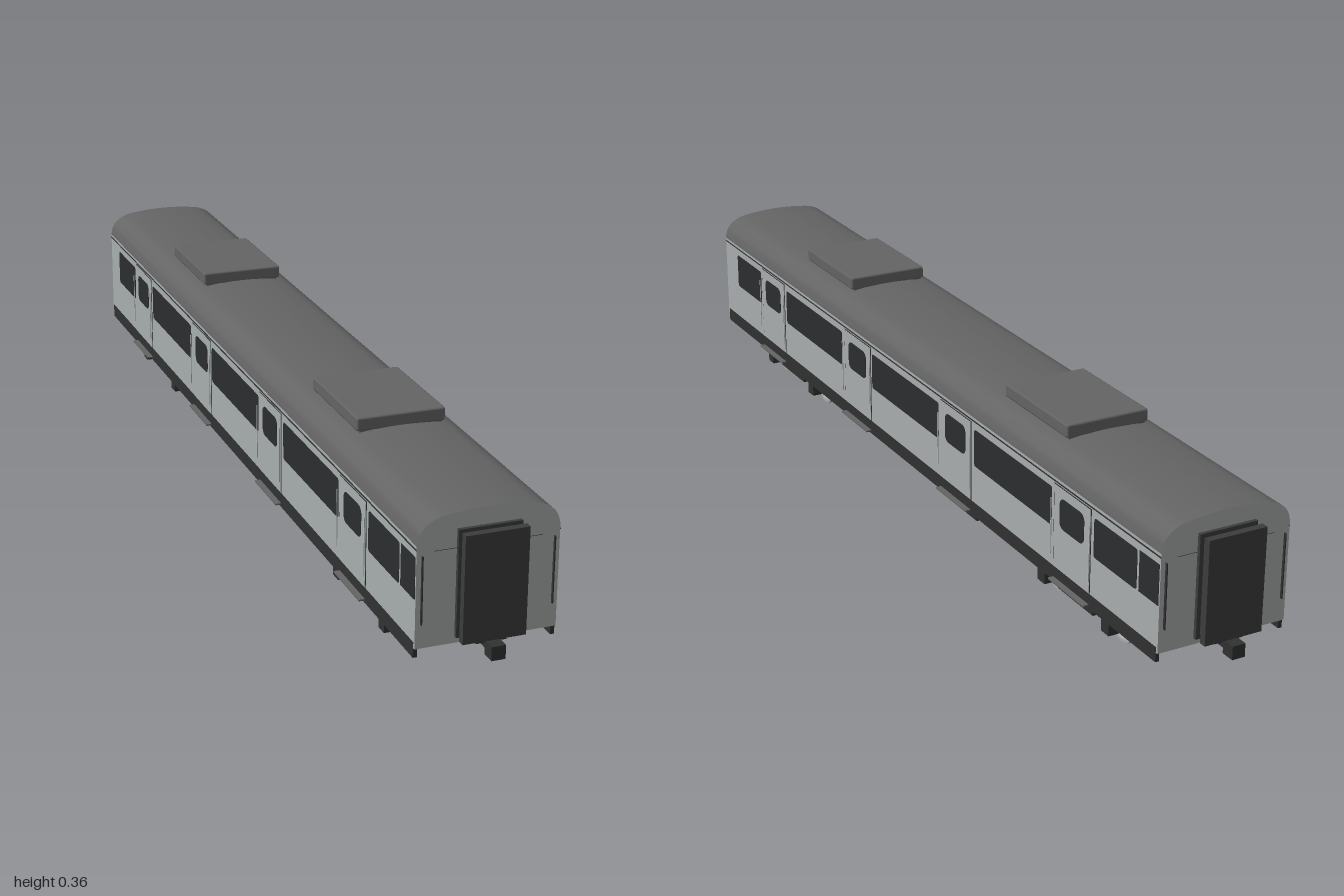
import * as THREE from 'three';
import { toCreasedNormals } from 'three/addons/utils/BufferGeometryUtils.js';
import { RoundedBoxGeometry } from 'three/addons/geometries/RoundedBoxGeometry.js';

const mat = (name, color) => {
  const m = new THREE.MeshStandardMaterial({ color });
  m.name = name;
  return m;
};

export function createModel() {
  const bodyGrey = mat('body grey', 0xa8adad);
  const roofGrey = mat('roof grey', 0x646464);
  const glass = mat('dark glass', 0x2c2d2e);
  const rubber = mat('gangway rubber', 0x3c3c3c);
  const trim = mat('dark trim', 0x303132);
  const steel = mat('wheel steel', 0xb4b8b8);
  const yellow = mat('spring yellow', 0xc4aa20);

  const model = new THREE.Group();
  model.name = 'railCoach';

  const add = (parent, name, geo, material, x = 0, y = 0, z = 0) => {
    const mesh = new THREE.Mesh(geo, material);
    mesh.name = name;
    mesh.position.set(x, y, z);
    parent.add(mesh);
    return mesh;
  };
  // box given by its limits
  const box = (parent, name, material, [x0, x1], [y0, y1], [z0, z1]) =>
    add(parent, name, new THREE.BoxGeometry(x1 - x0, y1 - y0, z1 - z0), material,
      (x0 + x1) / 2, (y0 + y1) / 2, (z0 + z1) / 2);
  const group = (name, parent = model) => {
    const g = new THREE.Group();
    g.name = name;
    parent.add(g);
    return g;
  };

  // body shell: walls, plain floor and arched roof
  const L = 0.948;
  box(model, 'bodyWalls', bodyGrey, [-0.13, 0.13], [0.095, 0.283], [-L, L]);
  const arch = new THREE.Shape();
  arch.moveTo(-0.13, 0.283);
  arch.lineTo(0.13, 0.283);
  arch.bezierCurveTo(0.128, 0.312, 0.108, 0.326, 0.08, 0.331);
  arch.quadraticCurveTo(0.04, 0.337, 0, 0.337);
  arch.quadraticCurveTo(-0.04, 0.337, -0.08, 0.331);
  arch.bezierCurveTo(-0.108, 0.326, -0.128, 0.312, -0.13, 0.283);
  const roofGeo = new THREE.ExtrudeGeometry(arch, { depth: 2 * L, bevelEnabled: false, curveSegments: 10 });
  roofGeo.translate(0, 0, -L);
  add(model, 'roof', toCreasedNormals(roofGeo, 0.6), [bodyGrey, roofGrey]);

  // roof air units
  for (const z of [-0.452, 0.452]) {
    add(model, 'roofUnit', new RoundedBoxGeometry(0.172, 0.026, 0.23, 1, 0.004), roofGrey, 0, 0.347, z);
    box(model, 'roofUnitBase', roofGrey, [-0.08, 0.08], [0.326, 0.337], [z - 0.112, z + 0.112]);
  }

  // flat plate lying on the +x wall, with rounded corners
  const wallPlate = (w, h, r, depth) => {
    const a = w / 2 - r, b = h / 2 - r, s = new THREE.Shape();
    s.absarc(a, b, r, 0, Math.PI / 2);
    s.absarc(-a, b, r, Math.PI / 2, Math.PI);
    s.absarc(-a, -b, r, Math.PI, Math.PI * 1.5);
    s.absarc(a, -b, r, Math.PI * 1.5, Math.PI * 2);
    const g = new THREE.ExtrudeGeometry(s, { depth, bevelEnabled: false, curveSegments: 4 });
    return g.rotateY(Math.PI / 2);
  };

  // one side of the coach; the other is the same turned half round
  const doors = [0.667, 0.22, -0.222, -0.664];
  const windows = [[0.738, 0.877], [0.298, 0.592], [-0.15, 0.15], [-0.592, -0.298], [-0.877, -0.738]];
  for (const turn of [0, Math.PI]) {
    const side = group(turn ? 'rightSide' : 'leftSide');
    side.rotation.y = turn;
    for (const [a, b] of windows)
      add(side, 'window', wallPlate(b - a, 0.076, 0.006, 0.0018), glass, 0.129, 0.222, (a + b) / 2);
    box(side, 'endPanel', glass, [0.129, 0.1308], [0.185, 0.262], [-0.945, -0.884]);
    for (const z of doors) {
      box(side, 'doorSeal', trim, [0.129, 0.1305], [0.105, 0.272], [z - 0.064, z + 0.064]);
      box(side, 'door', bodyGrey, [0.129, 0.1312], [0.107, 0.27], [z - 0.062, z + 0.062]);
      add(side, 'doorWindow', wallPlate(0.084, 0.06, 0.014, 0.002), glass, 0.13, 0.222, z);
      for (const s of [-1, 1])
        box(side, 'handrail', steel, [0.1345, 0.136], [0.132, 0.243], [z + s * 0.066 - 0.001, z + s * 0.066 + 0.001]);
      box(side, 'doorStep', roofGrey, [0.12, 0.142], [0.082, 0.085], [z - 0.062, z + 0.062]);
    }
    box(side, 'gutter', trim, [0.129, 0.131], [0.275, 0.2775], [-L, L]);
    box(side, 'sill', trim, [0.123, 0.1305], [0.077, 0.106], [-L + 0.005, L - 0.005]);
  }

  // coach ends: gangway, handrails and coupler
  for (const turn of [0, Math.PI]) {
    const end = group(turn ? 'backEnd' : 'frontEnd');
    end.rotation.y = turn;
    box(end, 'gangwayBellows', rubber, [-0.05, 0.05], [0.115, 0.297], [0.94, 0.968]);
    box(end, 'gangwayFrame', rubber, [-0.058, 0.058], [0.107, 0.305], [0.968, 0.982]);
    box(end, 'gangwayCollar', rubber, [-0.058, 0.058], [0.107, 0.305], [0.946, 0.955]);
    for (const s of [-1, 1]) {
      box(end, 'endHandrail', trim, [s * 0.12 - 0.001, s * 0.12 + 0.001], [0.14, 0.265], [0.946, 0.953]);
      box(end, 'endSeam', trim, [s * 0.078 - 0.02, s * 0.078 + 0.02], [0.2698, 0.2705], [0.946, 0.9485]);
    }
    box(end, 'couplerBar', trim, [-0.009, 0.009], [0.085, 0.098], [0.88, 0.98]);
    box(end, 'couplerHead', trim, [-0.013, 0.013], [0.078, 0.104], [0.972, 1]);
    box(end, 'couplerBracket', trim, [-0.028, 0.028], [0.098, 0.107], [0.93, 0.97]);
  }

  // wheel profile: flange on the inner face, raised rim around a flat web
  const wheelGeo = toCreasedNormals(new THREE.LatheGeometry([
    [0, -0.004], [0.027, -0.004], [0.027, -0.007], [0.041, -0.007], [0.041, -0.004],
    [0.037, -0.002], [0.036, 0.006], [0.027, 0.006], [0.027, 0.002], [0, 0.002],
  ].map(([r, y]) => new THREE.Vector2(r, y)), 28), 0.6);
  wheelGeo.rotateZ(-Math.PI / 2);

  // bogies
  for (const zc of [0.635, -0.633]) {
    const bogie = group('bogie');
    bogie.position.z = zc;
    box(bogie, 'bolster', trim, [-0.1, 0.1], [0.063, 0.086], [-0.045, 0.045]);
    box(bogie, 'pivot', trim, [-0.04, 0.04], [0.08, 0.096], [-0.035, 0.035]);
    for (const s of [-1, 1]) {
      const xs = (a, b) => (s > 0 ? [a, b] : [-b, -a]);
      box(bogie, 'sideFrame', trim, xs(0.084, 0.098), [0.06, 0.076], [-0.15, 0.15]);
      box(bogie, 'springPlank', trim, xs(0.08, 0.102), [0.04, 0.064], [-0.062, 0.062]);
    }
    for (const za of [-0.113, 0.113]) {
      const axle = new THREE.CylinderGeometry(0.006, 0.006, 0.18, 12).rotateZ(Math.PI / 2);
      add(bogie, 'axle', axle, steel, 0, 0.041, za);
      for (const s of [-1, 1]) {
        const xs = (a, b) => (s > 0 ? [a, b] : [-b, -a]);
        const wheel = add(bogie, 'wheel', wheelGeo, steel, s * 0.067, 0.041, za);
        if (s < 0) wheel.rotation.y = Math.PI;
        box(bogie, 'axleBox', trim, xs(0.087, 0.108), [0.031, 0.054], [za - 0.013, za + 0.013]);
        box(bogie, 'springBracket', yellow, xs(0.09, 0.103), [0.056, 0.079], [za - 0.008, za + 0.008]);
        box(bogie, 'spring', trim, xs(0.086, 0.1), [0.059, 0.076], [za - 0.012, za + 0.012]);
      }
    }
  }

  // equipment hung under the floor
  const equipment = group('underfloorEquipment');
  box(equipment, 'mainCase', trim, [-0.1, 0.1], [0.05, 0.096], [-0.105, 0.13]);
  for (const s of [-1, 1]) {
    const at = (a, b) => (s > 0 ? [a, b] : [-b, -a]);
    box(equipment, 'sideCase', trim, at(-0.1, 0.04), [0.04, 0.072], at(0.148, 0.253));
    box(equipment, 'sideCaseHanger', trim, at(-0.09, 0.03), [0.07, 0.096], at(0.156, 0.245));
    const tank = new THREE.CylinderGeometry(0.01, 0.01, 0.05, 14).rotateZ(Math.PI / 2);
    add(equipment, 'airTank', tank, trim, s * 0.06, 0.064, s * 0.315);
    box(equipment, 'airTankHanger', trim, [s * 0.06 - 0.005, s * 0.06 + 0.005], [0.068, 0.096],
      [s * 0.315 - 0.004, s * 0.315 + 0.004]);
  }
  box(equipment, 'rearTray', trim, [-0.09, 0.095], [0.064, 0.096], [-0.285, -0.14]);
  box(equipment, 'longCase', trim, [-0.055, 0.055], [0.056, 0.096], [-0.48, -0.33]);
  return model;
}
